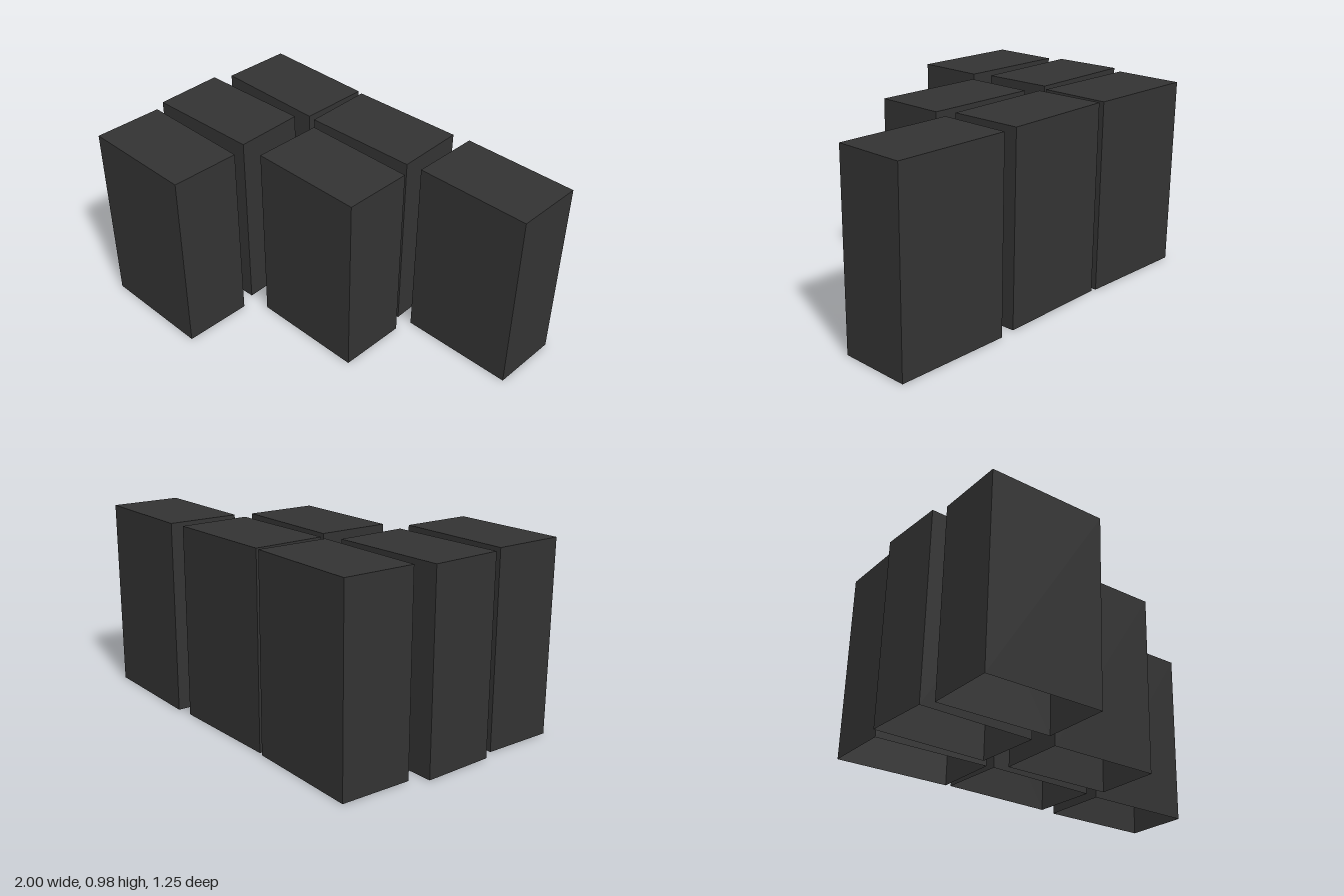
import * as THREE from 'three';

const WIDTH = 0.607, HEIGHT = 0.975, DEPTH = 0.365;

// Box shell standing on y = 0, open at the bottom
function openBox() {
  const geo = new THREE.BoxGeometry(WIDTH, HEIGHT, DEPTH).translate(0, HEIGHT / 2, 0);
  const index = Array.from(geo.index.array);
  index.splice(18, 6); // drop the underside
  geo.setIndex(index);
  geo.clearGroups();
  return geo;
}

export function createModel() {
  const group = new THREE.Group();
  const geo = openBox();
  const material = new THREE.MeshStandardMaterial({ color: 0x333333, side: THREE.DoubleSide });

  // Rows of slightly turned blocks: x, z, turn about y
  const rows = {
    backRow: [[-0.639, -0.438, -0.025], [0.001, -0.428, 0.014], [0.691, -0.438, -0.02]],
    middleRow: [[-0.694, -0.009, 0.016], [0.05, 0.001, -0.022]],
    frontRow: [[-0.66, 0.433, -0.024]],
  };
  for (const [name, blocks] of Object.entries(rows)) {
    const row = new THREE.Group();
    row.name = name;
    blocks.forEach(([x, z, turn], i) => {
      const block = new THREE.Mesh(geo, material);
      block.name = `block${i + 1}`;
      block.position.set(x, 0, z);
      block.rotation.y = turn;
      row.add(block);
    });
    group.add(row);
  }
  return group;
}
